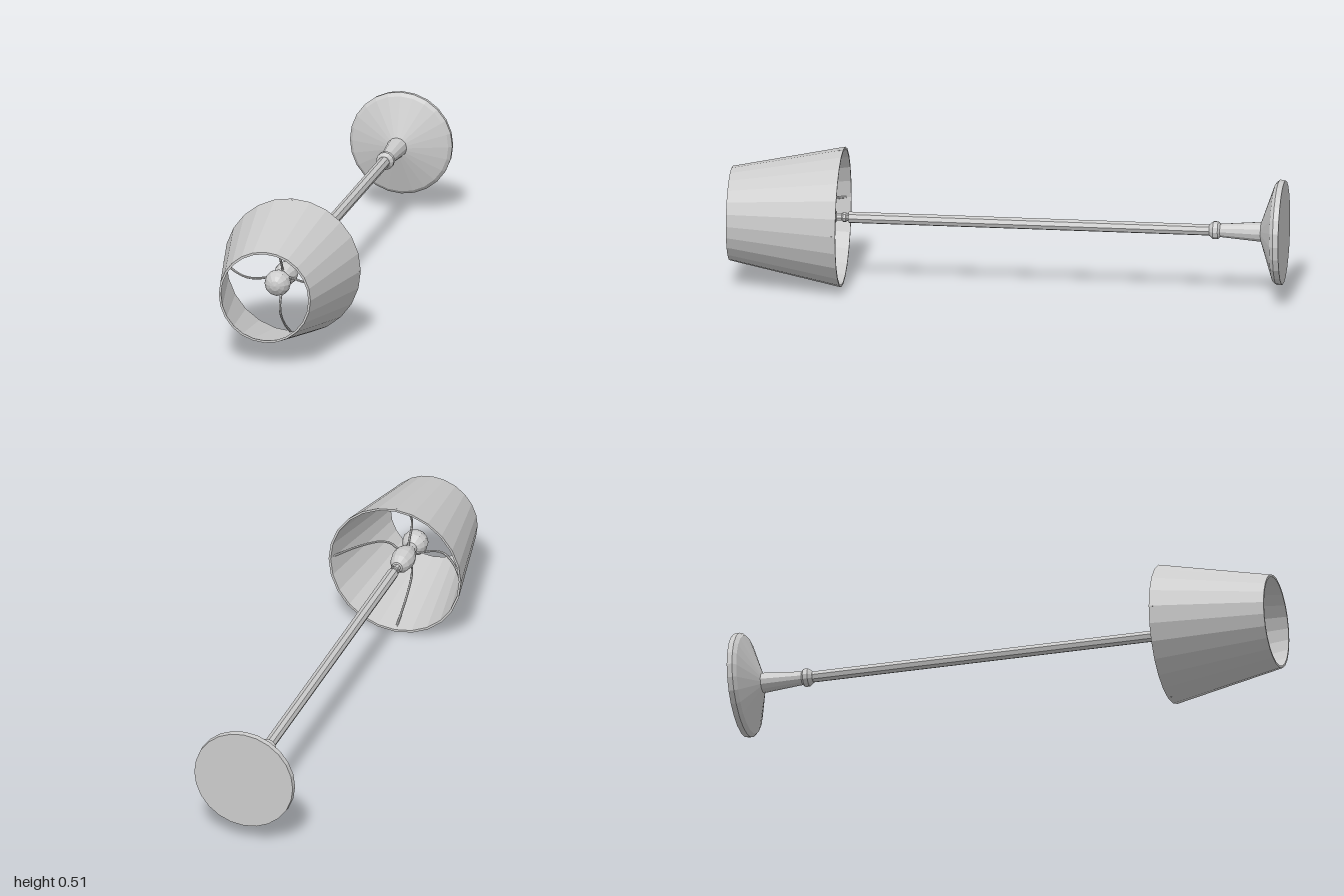
import * as THREE from 'three';

const material = new THREE.MeshStandardMaterial({ color: 0xcccccc, flatShading: true });

// Turned part around the lamp axis; profile is [radius, position along axis]
function turned(name, profile, sides) {
  const points = profile.map(([r, h]) => new THREE.Vector2(r, h));
  const mesh = new THREE.Mesh(new THREE.LatheGeometry(points, sides), material);
  mesh.name = name;
  return mesh;
}

export function createModel() {
  const model = new THREE.Group();
  model.name = 'lamp';

  // Built upright along y, then laid down so the shade points to +z
  const lamp = new THREE.Group();
  lamp.name = 'lampBody';
  lamp.rotation.x = Math.PI / 2;
  lamp.position.y = 0.255;
  model.add(lamp);

  // Foot: flat disc with a shallow cone
  lamp.add(turned('base', [
    [0, -1], [0.188, -1], [0.19, -0.98], [0.178, -0.967], [0.037, -0.918], [0, -0.918],
  ], 24));

  // Tapered stem and collar
  lamp.add(turned('stem', [[0.037, -0.92], [0.024, -0.765]], 12));
  lamp.add(turned('collar', [
    [0, -0.772], [0.022, -0.772], [0.033, -0.762], [0.033, -0.745], [0.021, -0.73], [0, -0.73],
  ], 12));

  // Long rod with a thin neck
  lamp.add(turned('rod', [[0.021, -0.735], [0.021, 0.575], [0, 0.575]], 8));
  lamp.add(turned('neck', [
    [0, 0.57], [0.014, 0.57], [0.014, 0.58], [0.018, 0.585], [0.018, 0.595], [0.014, 0.6], [0.014, 0.64],
  ], 8));

  // Socket and bulb
  lamp.add(turned('socket', [
    [0, 0.615], [0.02, 0.62], [0.036, 0.645], [0.043, 0.68], [0.041, 0.705],
    [0.03, 0.735], [0.022, 0.75], [0.022, 0.775],
  ], 12));
  const bulb = new THREE.Mesh(new THREE.SphereGeometry(0.048, 12, 8), material);
  bulb.name = 'bulb';
  bulb.position.y = 0.81;
  lamp.add(bulb);

  // Shade: thin tapered shell, open at both ends
  lamp.add(turned('shade', [
    [0.245, 0.595], [0.253, 0.595], [0.17, 1], [0.162, 1], [0.245, 0.595],
  ], 24));

  // Four arched wires holding the shade
  const arch = new THREE.CatmullRomCurve3(
    [[0.02, 0.735], [0.05, 0.752], [0.085, 0.776], [0.12, 0.773], [0.18, 0.715], [0.249, 0.605]]
      .map(([r, h]) => new THREE.Vector3(r, h, 0)));
  const wireGeometry = new THREE.TubeGeometry(arch, 16, 0.0045, 6);
  for (let i = 0; i < 4; i++) {
    const wire = new THREE.Mesh(wireGeometry, material);
    wire.name = 'shadeWire';
    wire.rotation.y = i * Math.PI / 2;
    lamp.add(wire);
  }

  return model;
}
